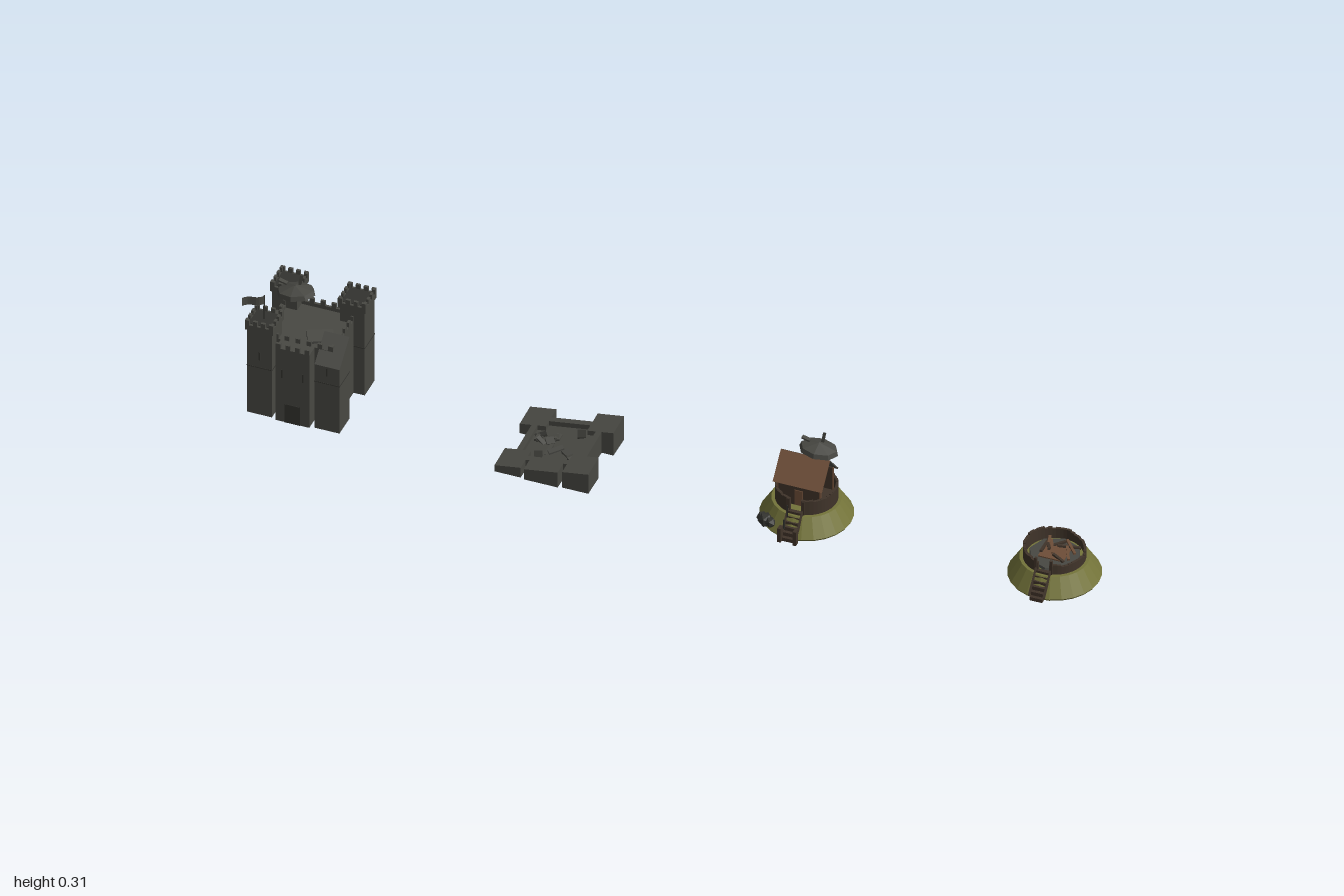
import * as THREE from 'three';

const mat = (name, color, double) => {
  const m = new THREE.MeshStandardMaterial({ color, flatShading: true });
  m.name = name;
  if (double) m.side = THREE.DoubleSide;
  return m;
};

export function createModel() {
  const stone = mat('stone', 0x484843, true);
  const darkStone = mat('dark stone', 0x33332f, true);
  const grass = mat('grass', 0x74743a);
  const darkWood = mat('dark wood', 0x40342a, true);
  const wood = mat('wood', 0x6e4e38, true);

  const model = new THREE.Group();
  model.name = 'castleSet';
  let seed = 7;
  const rnd = () => (seed = (seed * 16807) % 2147483647) / 2147483647;

  const group = (parent, name, x = 0, y = 0, z = 0) => {
    const g = new THREE.Group();
    g.name = name;
    g.position.set(x, y, z);
    parent.add(g);
    return g;
  };
  const add = (parent, name, geo, material, x = 0, y = 0, z = 0) => {
    const m = new THREE.Mesh(geo, material);
    m.name = name;
    m.position.set(x, y, z);
    parent.add(m);
    return m;
  };
  // Box standing on y
  const box = (parent, name, material, w, h, d, x, y, z) =>
    add(parent, name, new THREE.BoxGeometry(w, h, d), material, x, y + h / 2, z);
  // Box standing on the ground whose top follows a height rule
  const cutBox = (parent, name, material, w, d, x, z, topAt) => {
    const geo = new THREE.BoxGeometry(w, 1, d);
    const p = geo.attributes.position;
    for (let i = 0; i < p.count; i++)
      p.setY(i, p.getY(i) > 0 ? topAt(p.getX(i) + x, p.getZ(i) + z) : 0);
    geo.computeVertexNormals();
    return add(parent, name, geo, material, x, 0, z);
  };
  // Ring of merlons around a rectangle
  const merlons = (parent, w, d, n, x, y, z, size) => {
    const t = 0.006;
    for (const s of [-1, 1])
      for (let i = 0; i < n; i++) {
        const f = i / (n - 1) - 0.5;
        box(parent, 'merlon', stone, size, 0.012, t, x + f * (w - size), y, z + s * (d - t) / 2);
        box(parent, 'merlon', stone, t, 0.012, size, x + s * (w - t) / 2, y, z + f * (d - size));
      }
  };
  // Faceted floating lump with a leaning spar on top
  const floatingRock = (parent, x, y, z, tilt) => {
    const g = group(parent, 'floatingRock', x, y, z);
    const pts = [[0.001, -0.019], [0.034, -0.005], [0.031, 0.006], [0.001, 0.017]];
    const lump = add(g, 'lump', new THREE.LatheGeometry(pts.map(p => new THREE.Vector2(...p)), 8), stone);
    lump.scale.x = 1.35;
    lump.rotation.z = tilt;
    const spar = box(g, 'spar', darkStone, 0.006, 0.022, 0.005, 0.005, 0.01, -0.016);
    spar.rotation.x = -0.65;
    const fin = box(g, 'fin', stone, 0.02, 0.004, 0.01, -0.03, 0.018, 0);
    fin.rotation.z = -0.25;
  };

  // Standing castle
  const TX = 0.08, TZ = 0.075;
  const castle = group(model, 'castle', -0.872, 0, -0.0035);
  box(castle, 'keep', stone, 0.166, 0.19, 0.155, 0, 0, 0);
  for (const s of [-1, 1]) {
    box(castle, 'parapetSide', stone, 0.006, 0.199, 0.155, s * 0.08, 0, 0);
    box(castle, 'parapetEnd', stone, 0.166, 0.199, 0.006, 0, 0, s * 0.0745);
  }
  merlons(castle, 0.166, 0.155, 7, 0, 0.199, 0, 0.011);
  for (const sx of [-1, 1])
    for (const sz of [-1, 1]) {
      const x = sx * TX, z = sz * TZ;
      if (sx > 0 && sz > 0) {
        // Broken front tower, sheared at a slant
        cutBox(castle, 'brokenTower', stone, 0.059, 0.059, x, z, (px, pz) => 0.175 + (0.1045 - pz) * 0.85);
        continue;
      }
      box(castle, 'tower', stone, 0.059, 0.228, 0.059, x, 0, z);
      box(castle, 'towerHead', stone, 0.066, 0.014, 0.066, x, 0.228, z);
      box(castle, 'towerFloor', darkStone, 0.054, 0.001, 0.054, x, 0.242, z);
      merlons(castle, 0.066, 0.066, 4, x, 0.242, z, 0.01);
    }
  for (const sx of [-1, 1]) for (const sz of [-1, 1])
    box(castle, 'stringCourse', darkStone, 0.0605, 0.002, 0.0605, sx * TX, 0.128, sz * TZ);
  // Gatehouse with door and slits
  box(castle, 'gatehouse', stone, 0.08, 0.199, 0.035, 0, 0, 0.092);
  for (let i = 0; i < 4; i++)
    box(castle, 'merlon', stone, 0.011, 0.012, 0.006, -0.034 + i * 0.0227, 0.199, 0.1065);
  box(castle, 'gate', darkStone, 0.036, 0.05, 0.003, 0, 0, 0.109);
  for (const sx of [-1, 1]) {
    box(castle, 'arrowSlit', darkStone, 0.004, 0.022, 0.002, sx * 0.025, 0.12, 0.1095);
    box(castle, 'arrowSlit', darkStone, 0.004, 0.022, 0.002, sx * TX, 0.15, 0.1045);
  }
  // Slab fallen over the roof
  const slab = box(castle, 'fallenSlab', stone, 0.06, 0.006, 0.04, 0.035, 0.192, 0.03);
  slab.rotation.set(0.1, 0.5, -0.1);
  // Flag on the front corner tower
  const flag = group(castle, 'flag', -TX, 0.242, TZ);
  add(flag, 'flagPole', new THREE.CylinderGeometry(0.0015, 0.0015, 0.066, 6), darkStone, 0, 0.033, 0);
  const cloth = new THREE.PlaneGeometry(0.05, 0.022, 8, 1);
  const cp = cloth.attributes.position;
  for (let i = 0; i < cp.count; i++) cp.setZ(i, 0.003 * Math.sin(cp.getX(i) * 130));
  cloth.translate(0.025, 0, 0);
  add(flag, 'flagCloth', cloth, stone, 0, 0.053, 0).rotation.y = Math.PI + 0.52;
  floatingRock(castle, -0.042, 0.264, -0.017, 0.15);

  // Ruined castle, worn down along a slope
  const ruin = group(model, 'ruinedCastle', -0.284, 0, -0.0035);
  const worn = (x, z) => 0.041 + 0.16 * x - 0.06 * z;
  const low = (x, z) => worn(x, z) - 0.012;
  cutBox(ruin, 'ruinFloor', stone, 0.15, 0.14, 0, 0, low);
  for (const s of [-1, 1]) {
    cutBox(ruin, 'ruinSideWall', stone, 0.014, 0.155, s * 0.076, 0, worn);
    cutBox(ruin, 'ruinEndWall', stone, 0.166, 0.014, 0, s * 0.07, worn);
    for (const t of [-1, 1]) cutBox(ruin, 'ruinTower', stone, 0.062, 0.062, s * TX, t * TZ, worn);
  }
  cutBox(ruin, 'ruinGatehouse', stone, 0.08, 0.035, 0, 0.092, worn);
  for (let i = 0; i < 14; i++) {
    const x = (rnd() - 0.5) * 0.12, z = (rnd() - 0.5) * 0.11;
    const r = box(ruin, 'rubble', i % 3 ? stone : darkStone, 0.012 + rnd() * 0.025, 0.006, 0.008 + rnd() * 0.012, x, low(x, z) - 0.001, z);
    r.rotation.set(rnd() * 0.6 - 0.3, rnd() * 3, rnd() * 0.6 - 0.3);
  }

  // Grass mound with stairs and palisade
  const mound = (name, x, fenceTop) => {
    const g = group(model, name, x, 0, -0.0085);
    const pts = [[0, 0], [0.102, 0], [0.105, 0.005], [0.078, 0.048], [0, 0.05]];
    add(g, 'mound', new THREE.LatheGeometry(pts.map(p => new THREE.Vector2(...p)), 24), grass);
    const n = 48;
    for (let i = 0; i < n; i++) {
      const a = (i / n) * Math.PI * 2;
      if (Math.sin(a) > 0.97) continue;
      const h = fenceTop(Math.cos(a)) - 0.045;
      const post = box(g, 'palisadePost', darkWood, 0.0095, h, 0.006, Math.cos(a) * 0.067, 0.045, Math.sin(a) * 0.067);
      post.rotation.y = Math.PI / 2 - a;
    }
    for (let i = 0; i < 6; i++)
      box(g, 'stair', darkWood, 0.03, 0.009 * (i + 1), 0.009, 0, 0, 0.108 - i * 0.008);
    for (const s of [-1, 1]) {
      const rail = box(g, 'stairRail', darkWood, 0.004, 0.007, 0.066, s * 0.017, 0.031, 0.087);
      rail.rotation.x = 0.83;
      box(g, 'gatePost', darkWood, 0.006, 0.036, 0.006, s * 0.018, 0.048, 0.066);
    }
    return g;
  };

  // Mound with house
  const fort = mound('moundFort', 0.3, () => 0.083 + rnd() * 0.004);
  const house = group(fort, 'house', -0.003, 0, 0);
  for (const s of [-1, 1]) {
    box(house, 'longWall', darkWood, 0.1, 0.065, 0.003, 0, 0.048, s * 0.038);
    const roof = add(house, 'roofSlope', new THREE.BoxGeometry(0.116, 0.003, 0.074), s > 0 ? wood : stone, 0, 0.133, s * 0.024);
    roof.rotation.x = s * 0.84;
    for (const t of [-1, 1])
      box(house, 'cornerPost', wood, 0.004, 0.065, 0.004, t * 0.05, 0.048, s * 0.038);
  }
  box(house, 'houseFloor', darkWood, 0.1, 0.004, 0.074, 0, 0.049, 0);
  box(house, 'door', wood, 0.02, 0.04, 0.002, 0, 0.05, 0.0402);
  floatingRock(fort, 0.024, 0.177, -0.012, -0.06);
  // Outer gate, boulders and thin standards
  for (const s of [-1, 1]) box(fort, 'outerGatePost', darkWood, 0.008, 0.037, 0.014, s * 0.018, 0, 0.113);
  for (const [x, y, z, r] of [[-0.067, 0.018, 0.076, 0.018], [-0.08, 0.012, 0.062, 0.014], [-0.052, 0.02, 0.084, 0.013]])
    add(fort, 'boulder', new THREE.IcosahedronGeometry(r, 0), darkStone, x, y, z);
  box(fort, 'standardLow', darkStone, 0.004, 0.025, 0.001, -0.004, 0.045, 0.1255);
  box(fort, 'standardHigh', darkStone, 0.004, 0.033, 0.001, 0.002, 0.075, 0.1205);

  // Ruined mound
  const wreck = mound('ruinedMound', 0.887, c => 0.07 - 0.006 * c + rnd() * 0.006);
  add(wreck, 'ashFloor', new THREE.CylinderGeometry(0.058, 0.06, 0.006, 8), stone, 0, 0.052, 0);
  box(wreck, 'burntFloor', wood, 0.06, 0.003, 0.05, 0, 0.055, 0);
  for (let i = 0; i < 9; i++) {
    const beam = box(wreck, 'fallenBeam', i % 2 ? wood : darkWood, 0.03 + rnd() * 0.03, 0.005, 0.006,
      (rnd() - 0.5) * 0.06, 0.057, (rnd() - 0.5) * 0.06);
    beam.rotation.set(0, rnd() * 3, (rnd() - 0.5) * 0.4);
  }
  return model;
}
